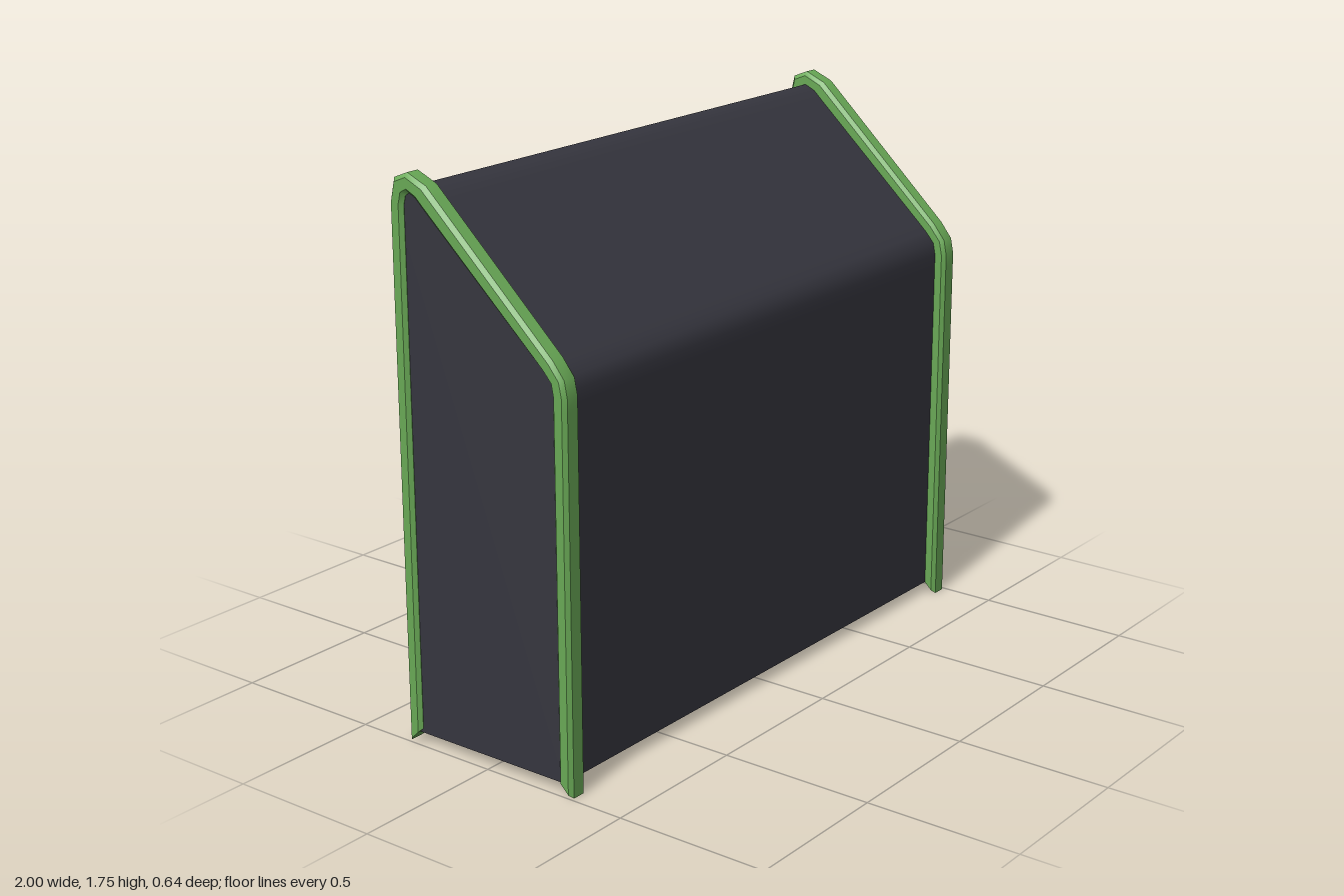
import * as THREE from 'three';
import { toCreasedNormals } from 'three/addons/utils/BufferGeometryUtils.js';

// Side profile stations, front foot to back foot: outer [z, y] and inner [z, y]
const PROFILE = [
  [0.32, 0, 0.27, 0.05], [0.32, 1.16, 0.27, 1.16], [0.32, 1.2, 0.27, 1.2],
  [0.31, 1.25, 0.263, 1.235], [0.27, 1.3, 0.238, 1.262], [0.24, 1.328, 0.208, 1.29],
  [-0.15, 1.692, -0.19, 1.65], [-0.18, 1.72, -0.222, 1.68], [-0.25, 1.75, -0.245, 1.692],
  [-0.3, 1.73, -0.26, 1.682], [-0.316, 1.66, -0.267, 1.655], [-0.316, 1.6, -0.267, 1.6],
  [-0.316, 0, -0.267, 0.05],
];
const PANEL_X = 0.987;

// Point on a station, u = 0 outer edge, u = 1 inner edge
const at = ([oz, oy, iz, iy], u) => [oz + (iz - oz) * u, oy + (iy - oy) * u];

function makeGeometry(positions, indices, crease) {
  const g = new THREE.BufferGeometry();
  g.setAttribute('position', new THREE.Float32BufferAttribute(positions, 3));
  g.setIndex(indices);
  return toCreasedNormals(g, crease);
}

// Bevelled bar swept along the profile, with mitred feet
function trimGeometry() {
  const w = 0.0335, c = 0.012, b = 0.22;
  const ring = [
    [-w + c, 0], [w - c, 0], [w, b], [w, 1 - b],
    [w - c, 1], [-w + c, 1], [-w, 1 - b], [-w, b],
  ];
  const n = ring.length, last = (PROFILE.length - 1) * n;
  const pos = [], idx = [];
  for (const s of PROFILE) {
    for (const [x, u] of ring) {
      const [z, y] = at(s, u);
      pos.push(x, y, z);
    }
  }
  for (let i = 0; i < last; i += n) {
    for (let j = 0; j < n; j++) {
      const k = (j + 1) % n;
      idx.push(i + j, i + k, i + n + k, i + j, i + n + k, i + n + j);
    }
  }
  for (let j = 1; j < n - 1; j++) {
    idx.push(0, j + 1, j, last, last + j, last + j + 1);
  }
  return makeGeometry(pos, idx, 0.6);
}

// Open sheet forming front, sloped top and back
function shellGeometry(line) {
  const pos = [], idx = [];
  line.forEach(([z, y], i) => {
    pos.push(-PANEL_X, y, z, PANEL_X, y, z);
    if (i < line.length - 1) {
      const a = i * 2;
      idx.push(a, a + 1, a + 3, a, a + 3, a + 2);
    }
  });
  return makeGeometry(pos, idx, 1);
}

export function createModel() {
  const green = new THREE.MeshStandardMaterial({ color: 0x69a956 });
  green.name = 'leaf green';
  const dark = new THREE.MeshStandardMaterial({ color: 0x36363f, side: THREE.DoubleSide });
  dark.name = 'charcoal';

  const model = new THREE.Group();
  model.name = 'cover';
  const add = (name, geometry, material, x = 0) => {
    const mesh = new THREE.Mesh(geometry, material);
    mesh.name = name;
    mesh.position.x = x;
    model.add(mesh);
  };

  // Dark body, open underneath
  const line = PROFILE.map((s) => at(s, 0.72));
  add('coverSheet', shellGeometry(line), dark);
  const shape = new THREE.Shape(line.map(([z, y]) => new THREE.Vector2(z, y)));

  // End panels and their trims
  const trim = trimGeometry();
  for (const [side, s] of [['left', 1], ['right', -1]]) {
    const panel = new THREE.ShapeGeometry(shape).rotateY(-Math.PI / 2);
    if (s > 0) panel.scale(-1, 1, 1); // flat at x = 0, corrected to face outward below
    const index = panel.index.array;
    const normals = panel.attributes.normal;
    if (s > 0) {
      for (let i = 0; i < index.length; i += 3) {
        [index[i + 1], index[i + 2]] = [index[i + 2], index[i + 1]];
      }
    }
    for (let i = 0; i < normals.count; i++) normals.setXYZ(i, s, 0, 0);
    add(side + 'EndPanel', panel, dark, s * PANEL_X);
    add(side + 'Trim', trim, green, s * 0.9665);
  }
  return model;
}
